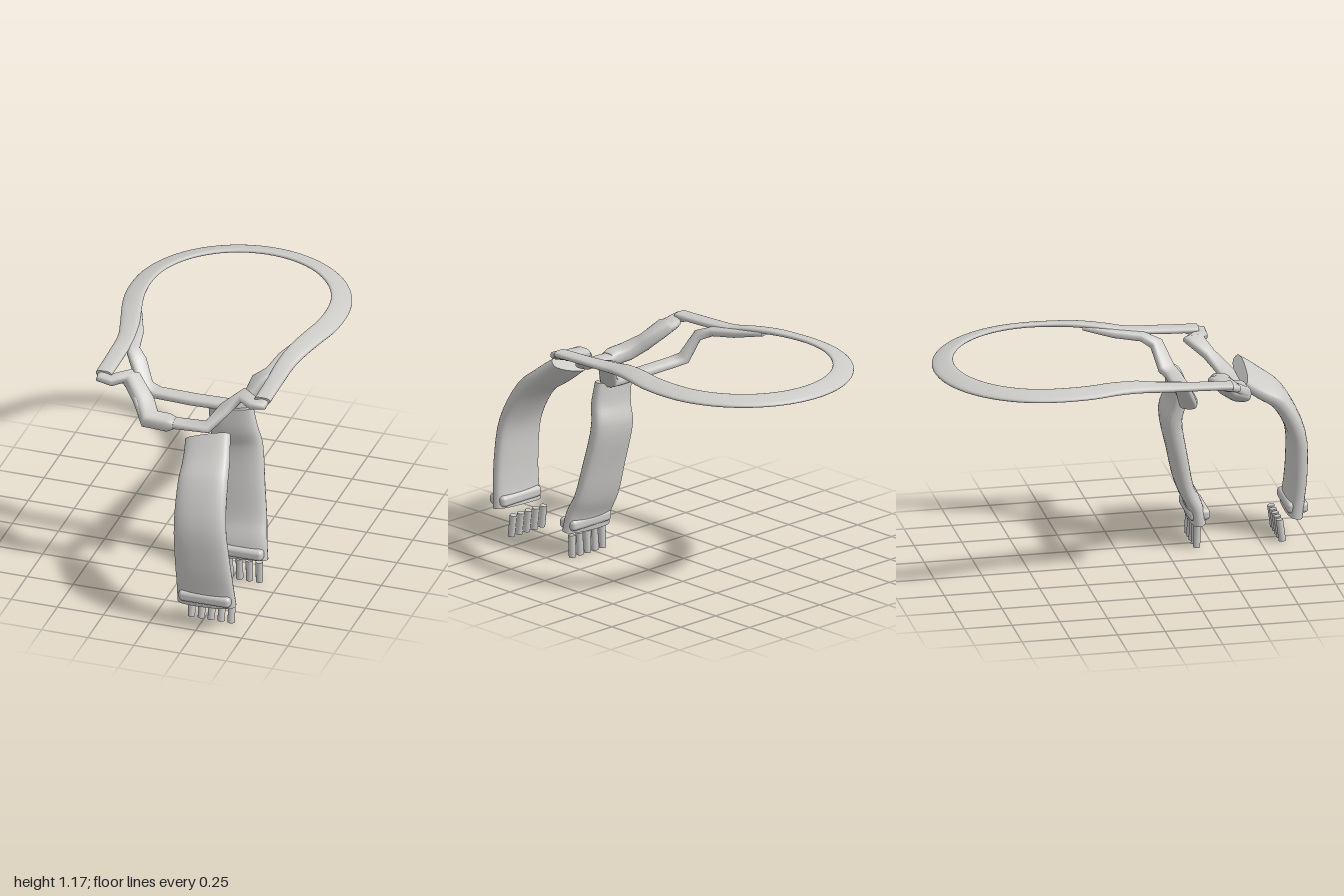
import * as THREE from 'three';
import { RoundedBoxGeometry } from 'three/addons/geometries/RoundedBoxGeometry.js';

const V = (x, y, z) => new THREE.Vector3(x, y, z);

// Sweeps a rounded flat section along stations [x, y, z, width, thickness, roll].
// The section's thickness direction follows the hint vector.
function sweep(stations, hint, sides = 20) {
  const pts = stations.map(s => V(s[0], s[1], s[2]));
  const n = pts.length, pos = [], idx = [];
  const rings = pts.map((p, i) => {
    const d1 = pts[Math.max(i, 1)].clone().sub(pts[Math.max(i - 1, 0)]).normalize();
    const d2 = pts[Math.min(i + 1, n - 1)].clone().sub(pts[Math.min(i, n - 2)]).normalize();
    const T = d1.clone().add(d2).normalize();
    const miter = Math.min(1.3, 1 / Math.max(0.3, T.dot(d2)));
    const S = T.clone().cross(hint).normalize();
    const N = S.clone().cross(T);
    const [, , , w, t, roll = 0] = stations[i];
    const side = S.clone().multiplyScalar(Math.cos(roll)).addScaledVector(N, -Math.sin(roll));
    const up = N.clone().multiplyScalar(Math.cos(roll)).addScaledVector(S, Math.sin(roll));
    return Array.from({ length: sides }, (_, j) => {
      const a = j / sides * Math.PI * 2, c = Math.cos(a), s = Math.sin(a);
      const u = Math.sign(c) * Math.abs(c) ** 0.8, v = Math.sign(s) * Math.abs(s) ** 0.7;
      return p.clone().addScaledVector(side, u * w * miter / 2).addScaledVector(up, v * t / 2);
    });
  });
  rings.forEach(r => r.forEach(p => pos.push(p.x, p.y, p.z)));
  for (let i = 0; i < n - 1; i++) for (let j = 0; j < sides; j++) {
    const k = (j + 1) % sides;
    const a = i * sides + j, b = a + sides, c = i * sides + k, d = c + sides;
    idx.push(a, b, c, b, d, c);
  }
  // end caps with their own vertices
  [0, n - 1].forEach(i => {
    const base = pos.length / 3;
    pos.push(pts[i].x, pts[i].y, pts[i].z);
    rings[i].forEach(p => pos.push(p.x, p.y, p.z));
    for (let j = 0; j < sides; j++) {
      const a = base + 1 + j, b = base + 1 + (j + 1) % sides;
      if (i === 0) idx.push(base, a, b); else idx.push(base, b, a);
    }
  });
  const g = new THREE.BufferGeometry();
  g.setAttribute('position', new THREE.Float32BufferAttribute(pos, 3));
  g.setIndex(idx);
  g.computeVertexNormals();
  return g;
}

// Rounds off a list of stations, interpolating section sizes too.
function smooth(st, count) {
  const curve = new THREE.CatmullRomCurve3(st.map(s => V(s[0], s[1], s[2])), false, 'centripetal');
  return Array.from({ length: count + 1 }, (_, i) => {
    const t = i / count, f = t * (st.length - 1), k = Math.min(Math.floor(f), st.length - 2);
    const p = curve.getPoint(t);
    const rest = [3, 4, 5].map(m => THREE.MathUtils.lerp(st[k][m] || 0, st[k + 1][m] || 0, f - k));
    return [p.x, p.y, p.z, ...rest];
  });
}

// Completes a right-to-centre path with its mirror image.
const mirrored = half => {
  const other = half.filter(s => s[0] > 0.001).map(s => [-s[0], ...s.slice(1)]).reverse();
  return [...half, ...other];
};

export function createModel() {
  const model = new THREE.Group();
  const cloth = new THREE.MeshStandardMaterial({ color: 0xcccbc8 });
  cloth.name = 'pale grey cloth';
  const add = (geometry, name, parent = model) => {
    const mesh = new THREE.Mesh(geometry, cloth);
    mesh.name = name;
    parent.add(mesh);
    return mesh;
  };
  const up = V(0, 1, 0), forward = V(0, 0, 1);

  // neck loop: flat band round the back, straight sides to the front
  const half = [
    [0.43, 1.103, 0.47, 0.085, 0.035, 0],
    [0.43, 1.11, 0.28, 0.088, 0.035, 0],
    [0.433, 1.122, 0.09, 0.095, 0.035, 0.1],
    [0.455, 1.14, -0.02, 0.105, 0.035, 0.2],
    [0.492, 1.152, -0.16, 0.11, 0.032, 0.22],
    [0.518, 1.152, -0.28, 0.112, 0.028, 0.25],
  ];
  for (let i = 0; i <= 6; i++) {
    const a = i / 6 * Math.PI / 2;
    half.push([0.526 * Math.cos(a), 1.152 - 0.007 * Math.sin(a), -0.42 - 0.526 * Math.sin(a), 0.112, 0.026, 0.27]);
  }
  add(sweep(smooth(mirrored(half), 96), up), 'neckLoop');

  // front strap: folded corners dropping to a low bar
  add(sweep(mirrored([
    [0.43, 1.105, 0.40, 0.08, 0.035],
    [0.425, 1.088, 0.475, 0.075, 0.045],
    [0.385, 1.077, 0.472, 0.08, 0.05],
    [0.31, 1.09, 0.425, 0.085, 0.05],
    [0.235, 1.03, 0.49, 0.08, 0.05],
    [0.165, 0.95, 0.565, 0.085, 0.045],
    [0, 0.943, 0.568, 0.085, 0.045],
  ]), up), 'frontStrap');

  // thicker fold wrapped over the right side of the front strap
  add(sweep([
    [-0.32, 1.082, 0.43, 0.08, 0.06],
    [-0.285, 1.078, 0.438, 0.10, 0.08],
    [-0.2, 1.0, 0.5, 0.105, 0.085],
    [-0.145, 0.945, 0.572, 0.105, 0.085],
    [-0.045, 0.942, 0.572, 0.10, 0.085],
    [-0.01, 0.943, 0.57, 0.085, 0.05],
  ], up), 'frontFold');

  // inner strap: runs under the loop, then drops to a second bar
  add(sweep(mirrored([
    [0.46, 1.145, -0.12, 0.07, 0.03],
    [0.40, 1.12, 0.03, 0.07, 0.045],
    [0.375, 1.1, 0.17, 0.07, 0.045],
    [0.325, 1.075, 0.232, 0.085, 0.05],
    [0.268, 0.955, 0.275, 0.085, 0.055],
    [0.2, 0.942, 0.295, 0.085, 0.048],
    [0, 0.94, 0.3, 0.088, 0.048],
  ]), up), 'innerStrap');

  // hanging scarf ends, each with a rounded hem and five tassels
  const tail = (name, stations, hemZ, tasselZ, tilt) => {
    const group = new THREE.Group();
    group.name = name;
    add(sweep(smooth(stations, 24), forward, 28), 'hangingCloth', group);
    add(new RoundedBoxGeometry(0.28, 0.06, 0.112, 4, 0.022), 'hem', group).position.set(0.29, 0.18, hemZ);
    for (let i = 0; i < 5; i++) {
      const tassel = add(new THREE.CylinderGeometry(0.019, 0.019, 0.118, 14), 'tassel', group);
      tassel.position.set(0.18 + i * 0.0538, 0.06, tasselZ);
      tassel.rotation.x = tilt;
    }
    model.add(group);
  };
  tail('frontTail', [
    [0.195, 0.94, 0.645, 0.25, 0.075],
    [0.22, 0.86, 0.745, 0.258, 0.09],
    [0.235, 0.785, 0.84, 0.265, 0.1],
    [0.253, 0.59, 0.942, 0.277, 0.092],
    [0.272, 0.38, 0.955, 0.295, 0.09],
    [0.283, 0.24, 0.945, 0.305, 0.085],
    [0.288, 0.135, 0.932, 0.315, 0.09],
  ], 0.94, 0.855, -0.13);
  tail('rearTail', [
    [0.205, 0.94, 0.308, 0.24, 0.08],
    [0.222, 0.82, 0.308, 0.255, 0.095],
    [0.235, 0.72, 0.286, 0.265, 0.105],
    [0.255, 0.5, 0.325, 0.28, 0.092],
    [0.272, 0.32, 0.365, 0.295, 0.085],
    [0.283, 0.22, 0.41, 0.305, 0.085],
    [0.288, 0.135, 0.425, 0.315, 0.085],
  ], 0.425, 0.415, 0.04);

  return model;
}
